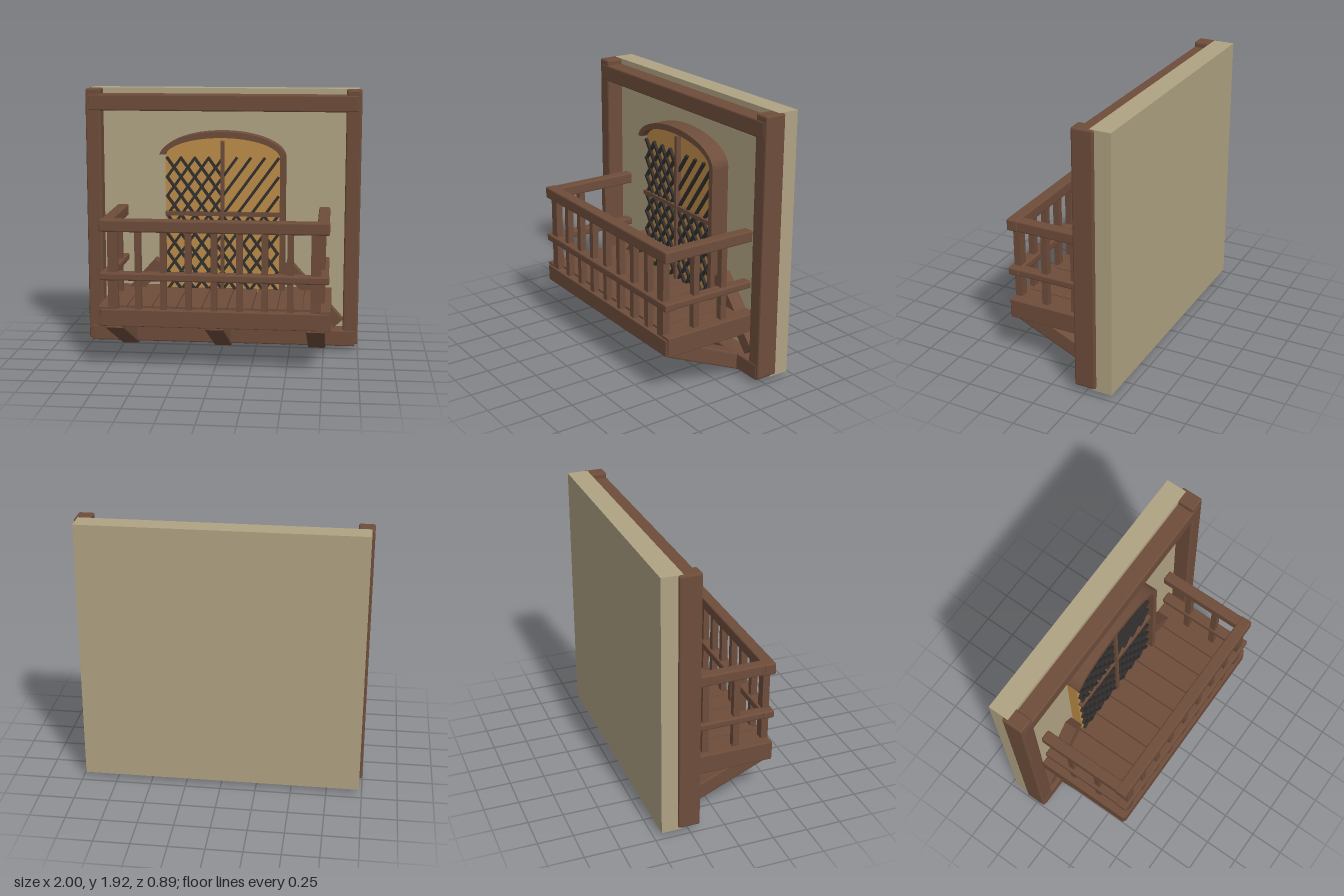
import * as THREE from 'three';
import { RoundedBoxGeometry } from 'three/addons/geometries/RoundedBoxGeometry.js';

const material = (name, color) => {
  const m = new THREE.MeshStandardMaterial({ color });
  m.name = name;
  return m;
};

export function createModel() {
  const model = new THREE.Group();
  model.name = 'balconyWall';
  const plaster = material('plaster', 0xb0a383);
  const timber = material('timber', 0x6e4d3b);
  const doorWood = material('doorWood', 0xbc8b47);
  const iron = material('iron', 0x33302e);

  const add = (name, geometry, mat) => {
    const mesh = new THREE.Mesh(geometry, mat);
    mesh.name = name;
    model.add(mesh);
    return mesh;
  };
  // Box given by its limits, with an optional chamfer
  const box = (name, mat, [x0, x1], [y0, y1], [z0, z1], bevel = 0) => {
    const size = [x1 - x0, y1 - y0, z1 - z0];
    const g = bevel ? new RoundedBoxGeometry(...size, 1, bevel) : new THREE.BoxGeometry(...size);
    if (bevel) g.computeVertexNormals();
    const mesh = add(name, g, mat);
    mesh.position.set((x0 + x1) / 2, (y0 + y1) / 2, (z0 + z1) / 2);
    return mesh;
  };
  const span = (c, w) => [c - w / 2, c + w / 2];
  const sided = (s, a, b) => (s > 0 ? [a, b] : [-b, -a]);

  // Wall and its timber surround
  box('wall', plaster, [-0.98, 0.98], [0.04, 1.925], [-0.45, -0.3]);
  box('topBeam', timber, [-0.98, 0.98], [1.765, 1.885], [-0.31, -0.177], 0.01);
  box('bottomBeam', timber, [-0.98, 0.98], [0.045, 0.165], [-0.31, -0.177], 0.01);
  for (const s of [-1, 1]) {
    box('wallPost', timber, sided(s, 0.89, 1), [0.06, 1.924], [-0.335, -0.18], 0.012);
  }

  // Arched door panel
  const panel = new THREE.Shape();
  panel.moveTo(-0.42, 0.4);
  panel.lineTo(0.42, 0.4);
  panel.lineTo(0.42, 1.43);
  panel.absellipse(0, 1.43, 0.42, 0.15, 0, Math.PI, false);
  panel.closePath();
  const panelGeometry = new THREE.ExtrudeGeometry(panel, { depth: 0.08, bevelEnabled: false, curveSegments: 14 });
  add('doorPanel', panelGeometry, doorWood).position.z = -0.3;

  // Door trim: arch plus one upright
  const trim = new THREE.Shape();
  trim.moveTo(0.42, 0.4);
  trim.lineTo(0.46, 0.4);
  trim.lineTo(0.46, 1.43);
  trim.absellipse(0, 1.43, 0.46, 0.19, 0, Math.PI - 0.1, false);
  trim.absellipse(0, 1.43, 0.42, 0.145, Math.PI - 0.14, 0, true);
  trim.closePath();
  const trimGeometry = new THREE.ExtrudeGeometry(trim, { depth: 0.135, bevelEnabled: false, curveSegments: 14 });
  add('doorTrim', trimGeometry, timber).position.z = -0.3;
  box('doorMullion', timber, span(0, 0.026), [0.42, 1.55], [-0.23, -0.18]);
  box('doorCrossbar', timber, [-0.42, 0.42], [1.0, 1.03], [-0.23, -0.185]);

  // Lattice strips clipped to a pane; dir is the sign of the slope
  const slope = 1.38;
  const lattice = (x0, x1, y0, y1, dir) => {
    const k = slope * dir;
    for (let c = -0.256; c < 2.4; c += 0.14) {
      const xa = (y0 - c) / k, xb = (y1 - c) / k;
      const a = Math.max(x0, Math.min(xa, xb));
      const b = Math.min(x1, Math.max(xa, xb));
      if (b - a < 0.02) continue;
      const strip = add('latticeStrip',
        new THREE.BoxGeometry(Math.hypot(b - a, k * (b - a)), 0.02, 0.02), iron);
      strip.position.set((a + b) / 2, k * (a + b) / 2 + c, dir > 0 ? -0.208 : -0.204);
      strip.rotation.z = Math.atan(k);
    }
  };
  lattice(-0.41, 0, 0.44, 1.43, 1);
  lattice(-0.41, 0, 0.44, 1.43, -1);
  lattice(0, 0.41, 0.44, 1.43, 1);
  lattice(0, 0.41, 0.44, 1.0, -1);

  // Balcony floor: planks with narrow gaps, framed by beams
  for (let i = -4; i <= 4; i++) {
    const x = i * 0.174;
    box('floorPlank', timber, [Math.max(x - 0.083, -0.75), Math.min(x + 0.083, 0.75)],
      [0.41, 0.455], [-0.3, 0.38]);
  }
  box('floorBase', timber, [-0.74, 0.74], [0.36, 0.42], [-0.3, 0.38]);
  box('floorFrontBeam', timber, [-0.79, 0.79], [0.32, 0.44], [0.365, 0.44], 0.006);
  for (const s of [-1, 1]) {
    box('floorSideBeam', timber, sided(s, 0.72, 0.805), [0.32, 0.46], [-0.3, 0.43], 0.006);
  }

  // Railing: top and middle rails on three sides
  for (const [y0, y1] of [[0.985, 1.07], [0.645, 0.7]]) {
    box('frontRail', timber, [-0.79, 0.79], [y0, y1], [0.36, 0.445], 0.01);
    for (const s of [-1, 1]) {
      box('sideRail', timber, sided(s, 0.705, 0.785), [y0 + 0.002, y1 - 0.002], [-0.27, 0.4], 0.01);
    }
  }
  for (const x of [-0.525, -0.35, -0.177, 0, 0.177, 0.35, 0.525]) {
    box('baluster', timber, span(x, 0.044), [0.43, 1.0], span(0.4, 0.046));
  }
  for (const s of [-1, 1]) {
    box('cornerBaluster', timber, span(s * 0.7, 0.07), [0.43, 1.0], span(0.402, 0.05));
    for (const z of [0.175, -0.052]) {
      box('sideBaluster', timber, span(s * 0.738, 0.046), [0.43, 1.0], span(z, 0.046));
    }
  }

  // Sloping brackets under the floor
  const tilt = Math.atan2(0.295, 0.67);
  for (const x of [-0.7, 0, 0.7]) {
    const g = new RoundedBoxGeometry(0.13, 0.115, 0.732, 1, 0.01);
    g.computeVertexNormals();
    const bracket = add('floorBracket', g, timber);
    bracket.rotation.x = -tilt;
    bracket.position.set(x, 0.15 + 0.0575 * Math.cos(tilt), 0.07 - 0.0575 * Math.sin(tilt));
  }

  // Diagonal braces on the wall beside the door
  for (const s of [-1, 1]) {
    const brace = add('wallBrace', new THREE.BoxGeometry(0.58, 0.09, 0.1), timber);
    brace.position.set(s * 0.66, 0.425, -0.25);
    brace.rotation.z = -s * 0.84;
  }
  return model;
}
